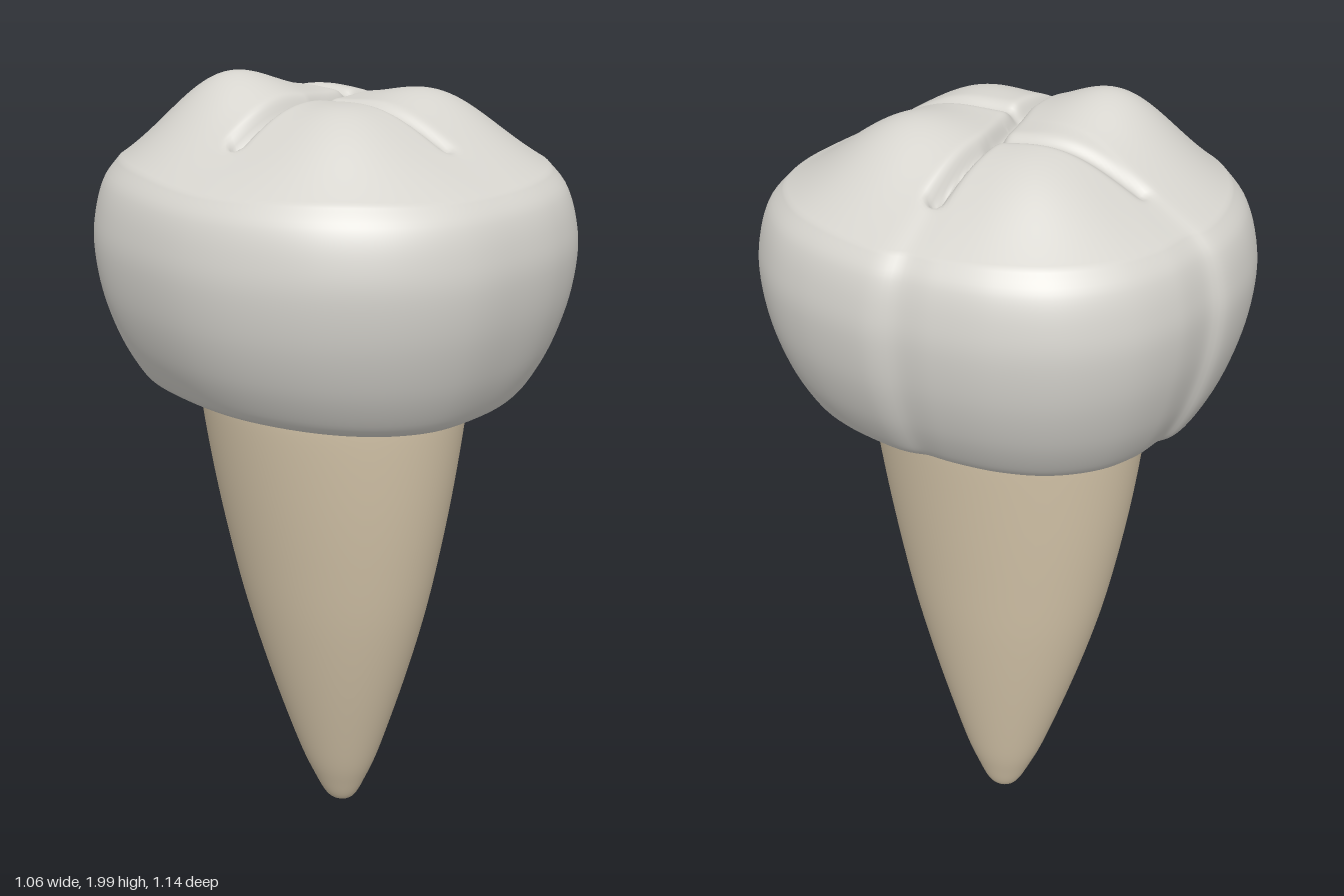
import * as THREE from 'three';
import { mergeVertices } from 'three/addons/utils/BufferGeometryUtils.js';

const SEGMENTS = 240;
const v2 = ([x, y]) => new THREE.Vector2(x, y);

// Widest outline of the crown, as x, z, with a notch on the left side and one at the back
const outline = new THREE.CatmullRomCurve3([
  [0.527, 0.04], [0.5, 0.23], [0.44, 0.37], [0.31, 0.5], [0.16, 0.555], [0, 0.567],
  [-0.16, 0.55], [-0.31, 0.475], [-0.43, 0.35], [-0.505, 0.19], [-0.53, 0.04],
  [-0.51, -0.15], [-0.46, -0.32], [-0.39, -0.425], [-0.3, -0.5], [-0.18, -0.55],
  [-0.05, -0.57], [0, -0.565], [0.03, -0.548], [0.15, -0.535], [0.28, -0.49],
  [0.4, -0.39], [0.47, -0.26], [0.5, -0.12], [0.506, -0.035], [0.52, 0],
].map(([x, z]) => new THREE.Vector3(x, 0, z)), true, 'centripetal').getSpacedPoints(SEGMENTS);

// Cusps: x, z, height
const cusps = [[-0.17, 0.18, 0.078], [0.17, 0.18, 0.092], [-0.17, -0.19, 0.135], [0.17, -0.18, 0.068]];

// Fissures on the chewing surface, as x, z paths
const fissures = [
  [[-0.31, -0.005], [-0.07, 0.008], [0.11, -0.03], [0.31, -0.015]],
  [[0.11, -0.03], [0.03, -0.36]],
  [[-0.06, 0.03], [0, 0.34]],
].map((path) => path.map(v2));
const fissureDepths = [0.04, 0.016, 0.016];

function distanceToPath(p, path) {
  let best = Infinity;
  for (let i = 0; i < path.length - 1; i++) {
    const d = path[i + 1].clone().sub(path[i]);
    const t = THREE.MathUtils.clamp(p.clone().sub(path[i]).dot(d) / d.lengthSq(), 0, 1);
    best = Math.min(best, p.distanceTo(path[i].clone().addScaledVector(d, t)));
  }
  return best;
}

// Relief of cusps and fissures over the smooth dome
function relief(x, z) {
  const p = new THREE.Vector2(x, z);
  let h = 0;
  for (const [cx, cz, a] of cusps) h += a * Math.exp(-((x - cx) ** 2 + (z - cz) ** 2) / 0.034);
  fissures.forEach((path, i) => {
    h -= fissureDepths[i] * Math.exp(-((distanceToPath(p, path) / 0.018) ** 2));
  });
  return h;
}

// Crown: the outline scaled along a profile from the top centre to the underside
function crownGeometry() {
  const dome = [];
  for (let i = 0; i < 64; i++) {
    const s = (0.88 * i) / 64;
    dome.push(new THREE.Vector2(s, 1.77 + 0.11 * (1 - (s / 0.9) ** 2)));
  }
  const side = new THREE.SplineCurve([
    [0.88, 1.775], [0.945, 1.735], [0.985, 1.67], [1, 1.59], [0.975, 1.48],
    [0.91, 1.36], [0.83, 1.27], [0.77, 1.235], [0.69, 1.222], [0.5, 1.225],
  ].map(v2)).getPoints(48);
  const profile = [...dome, ...side];

  const positions = [], index = [];
  profile.forEach(({ x: s, y }) => {
    const low = 1 - THREE.MathUtils.smoothstep(y, 1.22, 1.5);
    const high = THREE.MathUtils.smoothstep(y, 1.55, 1.75);
    for (let j = 0; j < SEGMENTS; j++) {
      const x = outline[j].x * s, z = outline[j].z * s;
      const lift = low * 0.025 * outline[j].x ** 2 / 0.28;
      positions.push(x, y + lift + high * relief(x, z), z);
    }
  });
  for (let i = 0; i < profile.length - 1; i++) {
    for (let j = 0; j < SEGMENTS; j++) {
      const k = (j + 1) % SEGMENTS;
      const a = i * SEGMENTS + j, b = i * SEGMENTS + k;
      if (i > 0) index.push(a, b, a + SEGMENTS);
      index.push(b, b + SEGMENTS, a + SEGMENTS);
    }
  }
  let geometry = new THREE.BufferGeometry();
  geometry.setAttribute('position', new THREE.Float32BufferAttribute(positions, 3));
  geometry.setIndex(index);
  geometry = mergeVertices(geometry, 1e-6);
  geometry.computeVertexNormals();
  return geometry;
}

// Root: an oval cone with a rounded tip that leans to the left
function rootGeometry() {
  const profile = new THREE.SplineCurve([
    [0, 0.004], [0.035, 0.022], [0.066, 0.09], [0.1, 0.19], [0.155, 0.4], [0.205, 0.62],
    [0.243, 0.82], [0.278, 1.02], [0.306, 1.2], [0.304, 1.23], [0.285, 1.25], [0.2, 1.26],
  ].map(v2)).getPoints(80);
  profile[0].x = 0;
  let geometry = new THREE.LatheGeometry(profile, 72);
  geometry.deleteAttribute('uv');
  geometry.deleteAttribute('normal');
  const p = geometry.attributes.position;
  for (let i = 0; i < p.count; i++) {
    const y = p.getY(i);
    const t = THREE.MathUtils.clamp(1 - y / 1.22, 0, 1);
    const bulge = 1.15 + 0.1 * Math.sin(Math.PI * t);
    p.setXYZ(i, p.getX(i) + 0.045 * Math.pow(t, 1.6), y, p.getZ(i) * bulge - 0.01 * t);
  }
  geometry = mergeVertices(geometry, 1e-5);
  geometry.computeVertexNormals();
  return geometry;
}

export function createModel() {
  const enamel = new THREE.MeshStandardMaterial({ color: 0xd6d4ce });
  enamel.name = 'enamel';
  const dentine = new THREE.MeshStandardMaterial({ color: 0xd8c8ac });
  dentine.name = 'dentine';

  const model = new THREE.Group();
  model.name = 'tooth';
  const crown = new THREE.Mesh(crownGeometry(), enamel);
  crown.name = 'crown';
  const root = new THREE.Mesh(rootGeometry(), dentine);
  root.name = 'root';
  model.add(crown, root);
  return model;
}
